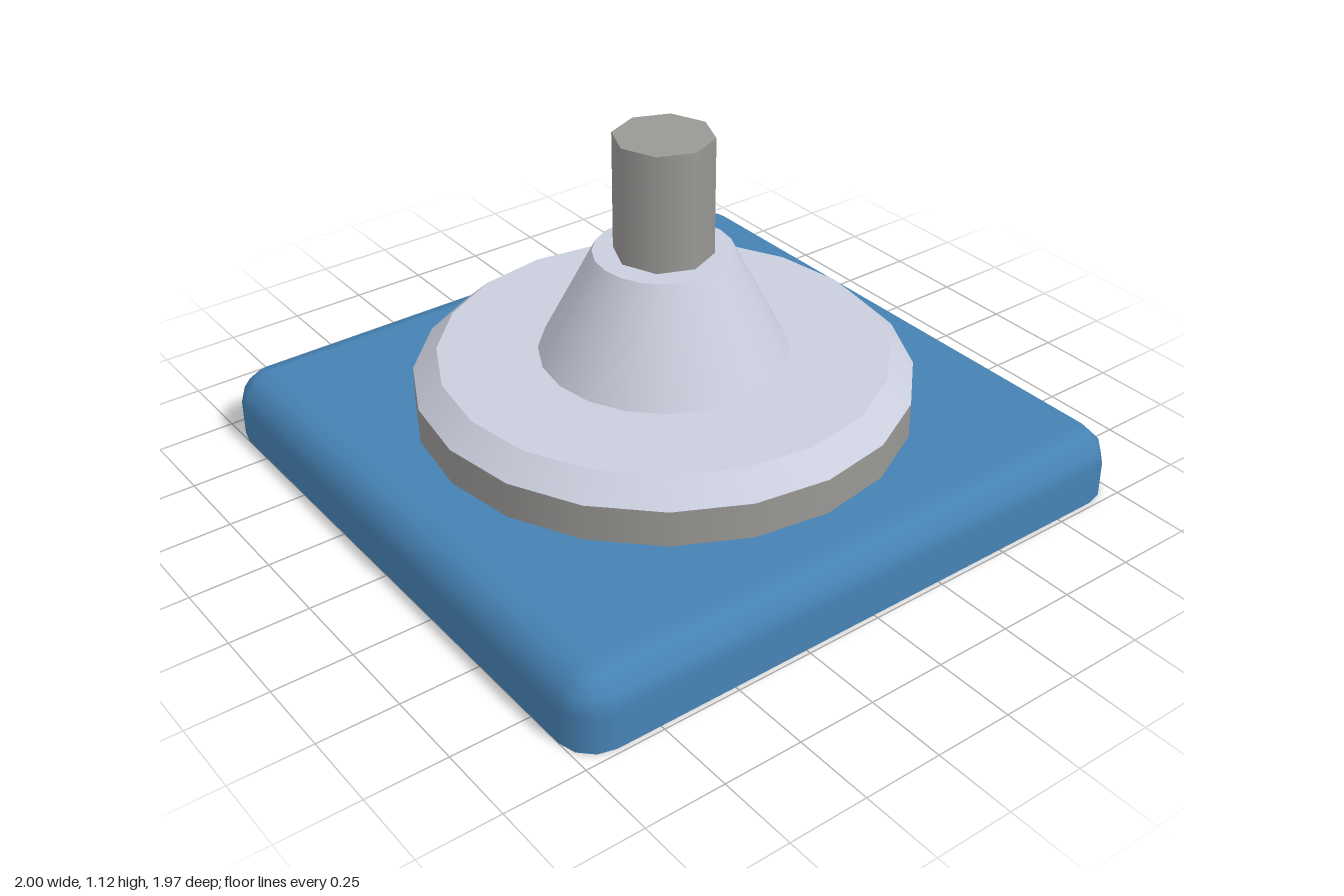
import * as THREE from 'three';

const W = 1, D = 0.985, H = 0.225, R = 0.11, SEG = 3;

// Slab with rounded upright corners, a rounded top edge and a sharp bottom edge
function slabGeometry() {
  const positions = [], normals = [], indices = [];
  const corners = [[1, 1], [-1, 1], [-1, -1], [1, -1]];
  const levels = [{ y: 0, a: 0 }];
  for (let i = 0; i <= SEG; i++) {
    const a = (i / SEG) * Math.PI / 2;
    levels.push({ y: H - R + R * Math.sin(a), a });
  }
  const addRing = (y, a, normalY) => {
    corners.forEach(([sx, sz], c) => {
      for (let i = 0; i <= SEG; i++) {
        const t = (c + i / SEG) * Math.PI / 2;
        const nx = Math.cos(t) * Math.cos(a), nz = Math.sin(t) * Math.cos(a);
        positions.push(sx * (W - R) + R * nx, y, sz * (D - R) + R * nz);
        if (normalY) normals.push(0, normalY, 0);
        else normals.push(nx, Math.sin(a), nz);
      }
    });
  };
  const n = 4 * (SEG + 1);
  levels.forEach(({ y, a }) => addRing(y, a, 0));
  for (let l = 0; l < levels.length - 1; l++) {
    for (let i = 0; i < n; i++) {
      const p = l * n + i, q = l * n + (i + 1) % n;
      indices.push(p, p + n, q, q, p + n, q + n);
    }
  }
  // Flat top and bottom
  const top = levels.length * n, bottom = top + n;
  addRing(H, Math.PI / 2, 1);
  addRing(0, 0, -1);
  for (let i = 1; i < n - 1; i++) {
    indices.push(top, top + i + 1, top + i, bottom, bottom + i, bottom + i + 1);
  }
  const g = new THREE.BufferGeometry();
  g.setAttribute('position', new THREE.Float32BufferAttribute(positions, 3));
  g.setAttribute('normal', new THREE.Float32BufferAttribute(normals, 3));
  g.setIndex(indices);
  return g;
}

export function createModel() {
  const group = new THREE.Group();
  const blue = new THREE.MeshStandardMaterial({ color: 0x4682b4 });
  const grey = new THREE.MeshStandardMaterial({ color: 0x999895 });
  const pale = new THREE.MeshStandardMaterial({ color: 0xcacddc });

  const add = (name, geometry, material) => {
    const mesh = new THREE.Mesh(geometry, material);
    mesh.name = name;
    group.add(mesh);
    return mesh;
  };
  // Round part standing between two heights
  const addRound = (name, y0, y1, r0, r1, sides, material) => {
    const mesh = add(name, new THREE.CylinderGeometry(r1, r0, y1 - y0, sides), material);
    mesh.position.set(0.005, (y0 + y1) / 2, 0);
  };

  add('baseSlab', slabGeometry(), blue);
  addRound('discRim', 0.225, 0.34, 0.77, 0.77, 20, grey);
  addRound('discBevel', 0.34, 0.41, 0.77, 0.695, 20, pale);
  addRound('coneCollar', 0.41, 0.743, 0.385, 0.215, 20, pale);
  addRound('shaft', 0.743, 1.117, 0.153, 0.153, 8, grey);
  return group;
}
